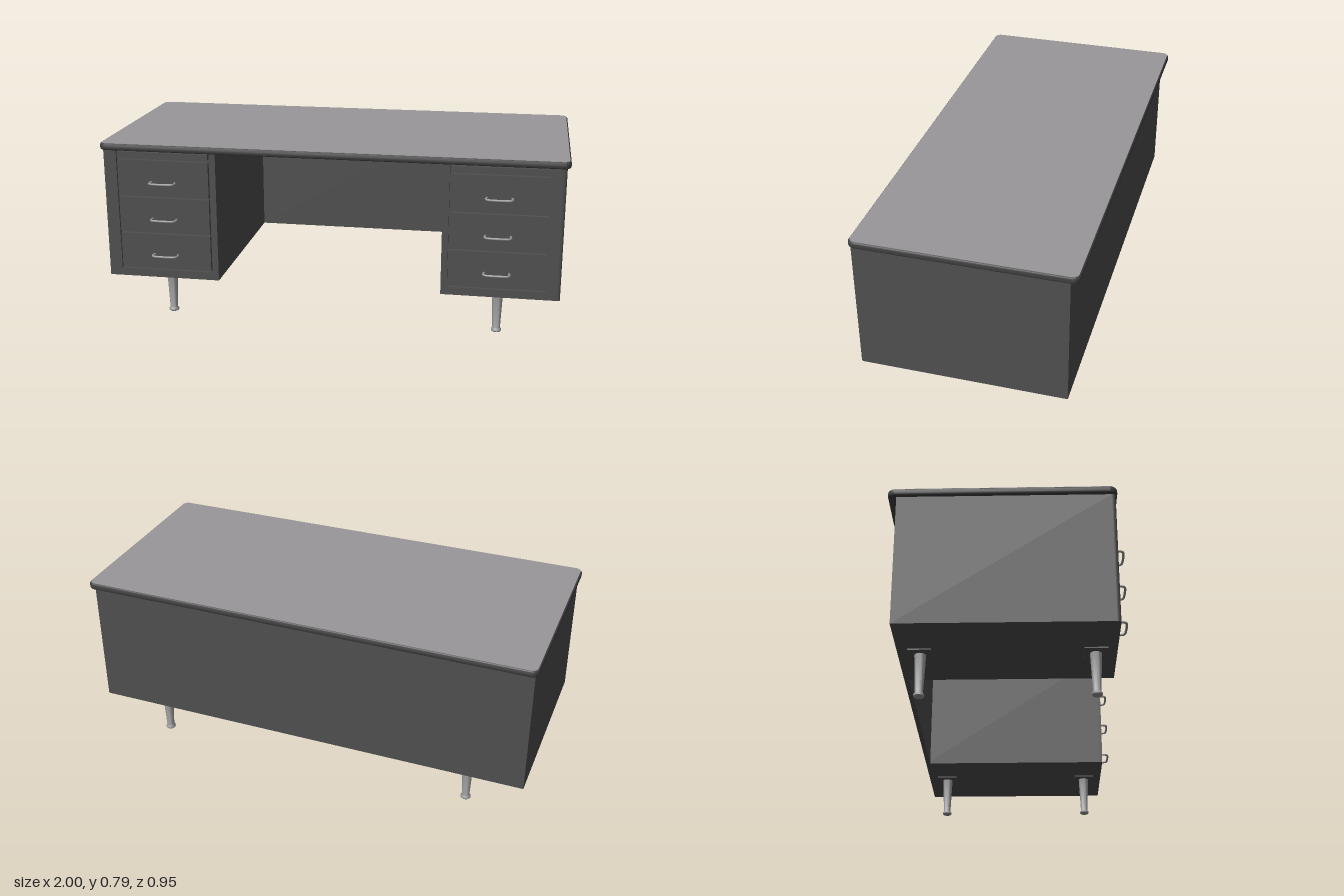
import * as THREE from 'three';
import { toCreasedNormals } from 'three/addons/utils/BufferGeometryUtils.js';

const paint = (name, color) => {
  const m = new THREE.MeshStandardMaterial({ color });
  m.name = name;
  return m;
};

export function createModel() {
  const body = paint('charcoal steel', 0x4f4f4f);
  const edge = paint('dark rubber edge', 0x414141);
  const laminate = paint('grey laminate', 0x9a979a);
  const metal = paint('brushed metal', 0x989898);

  const desk = new THREE.Group();
  desk.name = 'desk';

  const add = (parent, name, geometry, material) => {
    const mesh = new THREE.Mesh(geometry, material);
    mesh.name = name;
    parent.add(mesh);
    return mesh;
  };
  // Box given by its limits on each axis
  const box = (parent, name, [x0, x1], [y0, y1], [z0, z1], material) => {
    const mesh = add(parent, name, new THREE.BoxGeometry(x1 - x0, y1 - y0, z1 - z0), material);
    mesh.position.set((x0 + x1) / 2, (y0 + y1) / 2, (z0 + z1) / 2);
    return mesh;
  };
  // Rounded rectangle centred on the origin
  const roundedRect = (w, d, r) => {
    const s = new THREE.Shape(), x = w / 2, y = d / 2;
    s.moveTo(-x + r, -y);
    s.lineTo(x - r, -y).absarc(x - r, -y + r, r, -Math.PI / 2, 0);
    s.lineTo(x, y - r).absarc(x - r, y - r, r, 0, Math.PI / 2);
    s.lineTo(-x + r, y).absarc(-x + r, y - r, r, Math.PI / 2, Math.PI);
    s.lineTo(-x, -y + r).absarc(-x + r, -y + r, r, Math.PI, Math.PI * 1.5);
    return s;
  };

  // Desk top: rounded edge band with a thin laminate sheet on it
  const bevel = 0.01;
  const band = new THREE.ExtrudeGeometry(roundedRect(2 - 2 * bevel, 0.912 - 2 * bevel, 0.02), {
    depth: 0.031 - 2 * bevel, bevelSize: bevel, bevelThickness: bevel, bevelSegments: 4, curveSegments: 6,
  });
  band.rotateX(-Math.PI / 2).translate(0, 0.755 + bevel, -0.019);
  add(desk, 'topEdge', toCreasedNormals(band, 0.7), edge);
  const sheet = new THREE.ExtrudeGeometry(roundedRect(1.988, 0.9, 0.025), {
    depth: 0.003, bevelEnabled: false, curveSegments: 6,
  });
  sheet.rotateX(-Math.PI / 2).translate(0, 0.784, -0.019);
  add(desk, 'topSurface', sheet, laminate);

  // Modesty panel across the back
  box(desk, 'backPanel', [-0.485, 0.485], [0.187, 0.756], [-0.44, -0.42], body);

  // Outer front post in plan, with a rounded corner
  const post = new THREE.Shape();
  post.moveTo(0.925, -0.415);
  post.lineTo(0.925, -0.43).lineTo(0.972, -0.43);
  post.absarc(0.972, -0.417, 0.013, -Math.PI / 2, 0);
  post.lineTo(0.985, -0.415);
  const postGeometry = toCreasedNormals(
    new THREE.ExtrudeGeometry(post, { depth: 0.569, bevelEnabled: false, curveSegments: 6 })
      .rotateX(-Math.PI / 2).translate(0, 0.187, 0), 0.7);

  // Bent wire drawer pull
  const pull = new THREE.CatmullRomCurve3([
    [-0.052, 0, 0], [-0.055, 0, 0.02], [-0.048, 0, 0.034], [-0.025, 0, 0.038],
    [0.025, 0, 0.038], [0.048, 0, 0.034], [0.055, 0, 0.02], [0.052, 0, 0],
  ].map(p => new THREE.Vector3(...p)));
  const pullGeometry = new THREE.TubeGeometry(pull, 28, 0.005, 8);

  // Tapered leg with a rounded foot
  const legGeometry = toCreasedNormals(new THREE.LatheGeometry([
    [0, 0], [0.018, 0], [0.022, 0.004], [0.022, 0.01], [0.018, 0.015],
    [0.0165, 0.018], [0.024, 0.184], [0, 0.184],
  ].map(p => new THREE.Vector2(...p)), 20), 0.7);

  for (const side of [-1, 1]) {
    const pedestal = new THREE.Group();
    pedestal.name = side > 0 ? 'leftPedestal' : 'rightPedestal';
    desk.add(pedestal);
    const span = (a, b) => (side > 0 ? [a, b] : [-b, -a]);

    // Cabinet and the frame around the drawers
    box(pedestal, 'cabinet', span(0.485, 0.985), [0.187, 0.756], [-0.44, 0.415], body);
    box(pedestal, 'innerPost', span(0.485, 0.512), [0.187, 0.756], [0.415, 0.43], body);
    box(pedestal, 'bottomRail', span(0.512, 0.925), [0.187, 0.222], [0.415, 0.43], body);
    const outer = postGeometry.clone();
    if (side < 0) {
      // Mirror the post and restore the corner order
      outer.scale(-1, 1, 1);
      for (const attribute of Object.values(outer.attributes)) {
        const n = attribute.itemSize, a = attribute.array;
        for (let i = 0; i < a.length; i += 3 * n)
          for (let k = 0; k < n; k++) [a[i + k], a[i + 2 * n + k]] = [a[i + 2 * n + k], a[i + k]];
      }
    }
    add(pedestal, 'outerPost', outer, body);

    // Pull-out writing board above three drawers
    box(pedestal, 'writingBoard', span(0.517, 0.92), [0.729, 0.752], [0.415, 0.433], body);
    for (const [y0, y1, grip] of [[0.557, 0.718, 0.622], [0.393, 0.551, 0.458], [0.228, 0.387, 0.295]]) {
      box(pedestal, 'drawerFront', span(0.517, 0.92), [y0, y1], [0.415, 0.433], body);
      add(pedestal, 'drawerPull', pullGeometry, metal).position.set(side * 0.718, grip, 0.432);
    }

    // Legs with mounting plates
    for (const z of [0.345, -0.35]) {
      add(pedestal, 'leg', legGeometry, metal).position.set(side * 0.724, 0, z);
      box(pedestal, 'legPlate', span(0.674, 0.774), [0.182, 0.187], [z - 0.047, z + 0.047], body);
    }
  }
  return desk;
}
